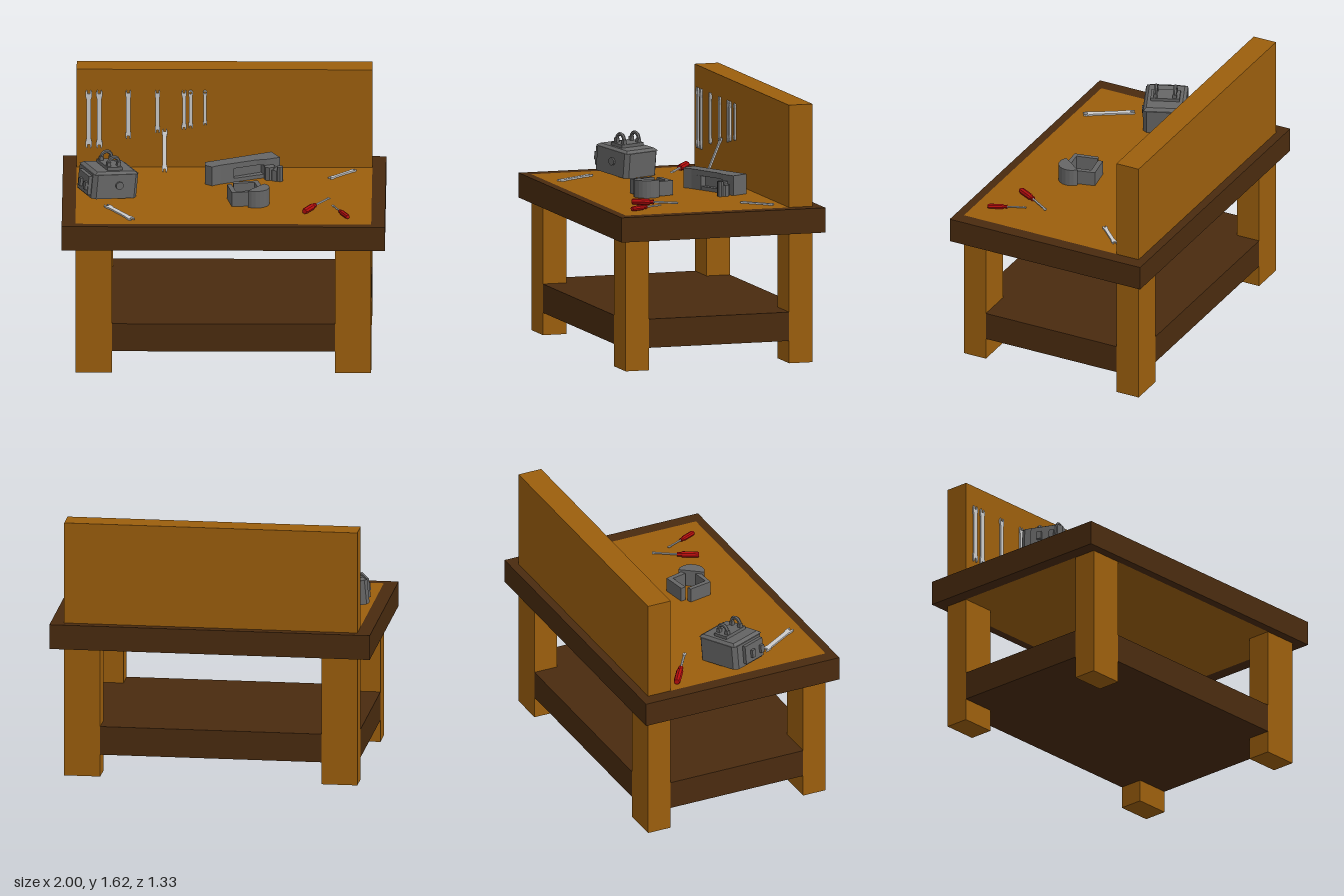
import * as THREE from 'three';

const mat = (color) => new THREE.MeshStandardMaterial({ color, flatShading: true });
const V = (x, y, z) => new THREE.Vector3(x, y, z);

export function createModel() {
  const model = new THREE.Group();
  const oak = mat(0x9c5f0d), walnut = mat(0x4a2b0f), steel = mat(0xcccccc);
  const iron = mat(0x666666), red = mat(0xb50d0d);

  const add = (name, geo, material, parent = model) => {
    const m = new THREE.Mesh(geo, material);
    m.name = name;
    parent.add(m);
    return m;
  };
  // box given by its minimum and maximum corners
  const box = (name, a, b, material, parent = model) => {
    const m = add(name, new THREE.BoxGeometry(b[0] - a[0], b[1] - a[1], b[2] - a[2]), material, parent);
    m.position.set((a[0] + b[0]) / 2, (a[1] + b[1]) / 2, (a[2] + b[2]) / 2);
    return m;
  };
  const outline = (pts) => new THREE.Shape(pts.map(([x, y]) => new THREE.Vector2(x, y)));
  // prism standing on a plan outline of [x, z] points
  const prism = (name, pts, y0, y1, material, parent = model) => {
    const shape = outline(pts.map(([x, z]) => [x, -z]));
    const geo = new THREE.ExtrudeGeometry(shape, { depth: y1 - y0, bevelEnabled: false });
    geo.rotateX(-Math.PI / 2).translate(0, y0, 0);
    return add(name, geo, material, parent);
  };
  // lay an object's y axis from a to b, with its z axis towards the given normal
  const place = (obj, a, b, normal) => {
    const y = b.clone().sub(a).normalize();
    const x = y.clone().cross(normal).normalize();
    obj.quaternion.setFromRotationMatrix(new THREE.Matrix4().makeBasis(x, y, x.clone().cross(y)));
    obj.position.copy(a).add(b).multiplyScalar(0.5);
  };

  // table top: dark frame around a flush panel
  const rim = outline([[-1, -0.665], [1, -0.665], [1, 0.665], [-1, 0.665]]);
  rim.holes.push(outline([[-0.915, -0.61], [-0.915, 0.61], [0.915, 0.61], [0.915, -0.61]]));
  const rimGeo = new THREE.ExtrudeGeometry(rim, { depth: 0.155, bevelEnabled: false });
  add('tableFrame', rimGeo.rotateX(-Math.PI / 2).translate(0, 0.82, 0), walnut);
  box('tablePanel', [-0.915, 0.82, -0.61], [0.915, 0.975, 0.61], oak);
  box('backBoard', [-0.915, 0.975, -0.61], [0.915, 1.615, -0.455], oak);

  // legs, and a shelf notched around them
  for (const sx of [-1, 1]) for (const sz of [-1, 1]) {
    const leg = add('leg', new THREE.BoxGeometry(0.225, 0.82, 0.153), oak);
    leg.position.set(sx * 0.8025, 0.41, sz * 0.5335);
  }
  const [u, U, v, W] = [0.69, 0.915, 0.457, 0.61];
  prism('shelf', [[-u, -W], [u, -W], [u, -v], [U, -v], [U, v], [u, v],
    [u, W], [-u, W], [-u, v], [-U, v], [-U, -v], [-u, -v]], 0.14, 0.32, walnut);

  // wrench: open jaws at both ends, or a ring at the upper end
  const wrench = (name, a, b, w, normal, ring = false) => {
    const e = a.distanceTo(b) / 2, h = w / 2;
    const neck = [[0.75 * h, e - 1.5 * w], [h, e - w], [h, e - 0.35 * w]];
    const jaw = [...neck, [0.65 * h, e], [0.4 * h, e - 0.1 * w], [0.4 * h, e - 0.6 * w]];
    const half = (p) => [...p, ...p.map(([x, y]) => [-x, y]).reverse()];
    const top = half(ring ? [...neck, [0.5 * h, e]] : jaw);
    const shape = outline([...top, ...half(jaw).map(([x, y]) => [-x, -y])]);
    if (ring) shape.holes.push(new THREE.Path().absarc(0, e - 0.6 * w, 0.28 * w, 0, Math.PI * 2, true));
    const geo = new THREE.ExtrudeGeometry(shape, { depth: 0.01, bevelEnabled: false, curveSegments: 5 });
    place(add(name, geo.translate(0, 0, -0.005), steel), a, b, normal);
  };
  const front = V(0, 0, 1), up = V(0, 1, 0);
  // wrenches on the board: x, lower end, width, ring
  for (const [x, y, w, ring] of [[-0.84, 1.1, 0.04], [-0.775, 1.1, 0.038], [-0.595, 1.16, 0.035],
    [-0.415, 1.2, 0.033], [-0.25, 1.22, 0.03], [-0.21, 1.23, 0.028, true], [-0.12, 1.25, 0.024, true]]) {
    wrench('hangingWrench', V(x, y, -0.449), V(x, 1.48, -0.449), w, front, ring);
  }
  wrench('leaningWrench', V(-0.37, 0.98, -0.34), V(-0.37, 1.23, -0.447), 0.033, front);
  wrench('tableWrench', V(-0.56, 0.982, 0.55), V(-0.73, 0.982, 0.28), 0.042, up);
  wrench('tableWrench', V(0.65, 0.982, -0.23), V(0.81, 0.982, -0.39), 0.03, up);

  // screwdrivers: handle end, joint and tip as [x, z], handle radius
  for (const [p, q, t, r] of [
    [[-0.87, -0.39], [-0.72, -0.29], [-0.57, -0.19], 0.022],
    [[0.5, 0.43], [0.565, 0.31], [0.65, 0.18], 0.02],
    [[0.77, 0.52], [0.72, 0.41], [0.675, 0.305], 0.016]]) {
    const driver = new THREE.Group();
    driver.name = 'screwdriver';
    model.add(driver);
    const [a, b, c] = [p, q, t].map(([x, z]) => V(x, 0.976 + r, z));
    const L = a.distanceTo(b);
    const grip = [[0, 0], [0.8 * r, 0], [r, 0.1 * L], [r, 0.75 * L], [0.65 * r, 0.85 * L], [0.75 * r, L], [0, L]];
    const handle = new THREE.LatheGeometry(grip.map(([x, y]) => new THREE.Vector2(x, y)), 8);
    place(add('handle', handle.translate(0, -L / 2, 0), red, driver), a, b, up);
    const shaft = new THREE.CylinderGeometry(r * 0.35, r * 0.35, b.distanceTo(c), 6);
    place(add('shaft', shaft, steel, driver), b, c, up);
    const tip = new THREE.BoxGeometry(r, 0.02, 0.005);
    place(add('tip', tip, steel, driver), c.clone().lerp(b, 0.12), c, up);
  }

  // heavy block, turned and slightly tipped, with two lifting eyes
  const block = new THREE.Group();
  block.name = 'ironBlock';
  block.rotation.set(0, 0.4, -0.1);
  block.position.set(-0.725, 0.99, 0.06);
  model.add(block);
  const c = 0.025, bx = 0.152, bz = 0.132;
  prism('blockBody', [[-bx, -bz + c], [-bx + c, -bz], [bx - c, -bz], [bx, -bz + c],
    [bx, bz - c], [bx - c, bz], [-bx + c, bz], [-bx, bz - c]], 0, 0.155, iron, block);
  const cap = add('blockCap', new THREE.CylinderGeometry(0.125 * Math.SQRT2, 0.145 * Math.SQRT2, 0.015, 4), iron, block);
  cap.geometry.rotateY(Math.PI / 4);
  cap.scale.z = 0.88;
  cap.position.y = 0.1625;
  box('eyePlate', [-0.05, 0.165, -0.09], [0.05, 0.19, 0.09], iron, block);
  for (const z of [-0.06, 0.06]) {
    const eye = add('liftingEye', new THREE.TorusGeometry(0.033, 0.012, 6, 10, Math.PI), iron, block);
    eye.position.set(0, 0.213, z);
    for (const x of [-0.033, 0.033]) {
      box('eyePost', [x - 0.012, 0.18, z - 0.012], [x + 0.012, 0.215, z + 0.012], iron, block);
    }
  }
  const bolt = add('bolt', new THREE.CylinderGeometry(0.025, 0.025, 0.015, 10), iron, block);
  bolt.rotation.x = Math.PI / 2;
  bolt.position.set(0.02, 0.085, bz + 0.005);
  box('sideBracket', [-0.175, 0.02, -0.06], [-0.15, 0.14, 0.1], iron, block);
  for (const z of [0, 0.08]) box('bracketLug', [-0.192, 0.05, z - 0.015], [-0.17, 0.1, z + 0.015], iron, block);

  // long jaw: top plate over a recessed web, with end blocks and rollers
  const jaw = new THREE.Group();
  jaw.name = 'longJaw';
  model.add(jaw);
  const tail = [[-0.12, -0.19], [0.02, -0.257], [0.06, -0.17], [-0.02, -0.135], [-0.075, -0.1], [-0.12, -0.135]];
  prism('jawTop', [[-0.12, -0.19], [0.29, -0.39], [0.345, -0.285], [0.26, -0.245], [0.2, -0.235],
    [-0.02, -0.135], [-0.075, -0.1], [-0.12, -0.135]], 1.065, 1.1, iron, jaw);
  prism('jawTail', tail, 0.976, 1.065, iron, jaw);
  prism('jawWeb', [[0, -0.248], [0.29, -0.39], [0.315, -0.335], [0.03, -0.195]], 0.976, 1.065, iron, jaw);
  prism('jawFoot', [[0, -0.248], [0.29, -0.39], [0.345, -0.285], [0.2, -0.235], [0.04, -0.165]], 0.976, 1.0, iron, jaw);
  prism('jawHead', [[0.2, -0.345], [0.29, -0.39], [0.345, -0.285], [0.25, -0.245]], 0.976, 1.085, iron, jaw);
  for (const [x, z, r, y] of [[0.28, -0.235, 0.035, 1.06], [0.325, -0.225, 0.04, 1.045], [0.345, -0.2, 0.02, 1.07]]) {
    const roller = add('roller', new THREE.CylinderGeometry(r, r, y - 0.976, 8), iron, jaw);
    roller.position.set(x, (y + 0.976) / 2, z);
  }

  // open clamp: bent frame ending in a half-round pad
  const clamp = new THREE.Group();
  clamp.name = 'clamp';
  model.add(clamp);
  prism('clampArm', [[0.02, 0.14], [0.045, 0.13], [0.075, 0.265], [0.18, 0.25], [0.18, 0.28], [0.05, 0.29]],
    0.978, 1.07, iron, clamp);
  prism('clampHook', [[0.055, 0.09], [0.21, 0.065], [0.24, 0.18], [0.212, 0.195], [0.19, 0.1], [0.06, 0.122]],
    0.978, 1.07, iron, clamp);
  const arc = [];
  for (let i = 0; i <= 10; i++) {
    const t = -0.92 + (i / 10) * Math.PI;
    arc.push([0.2 + 0.083 * Math.cos(t), 0.231 + 0.083 * Math.sin(t)]);
  }
  prism('clampPad', arc, 0.976, 1.085, iron, clamp);

  return model;
}
